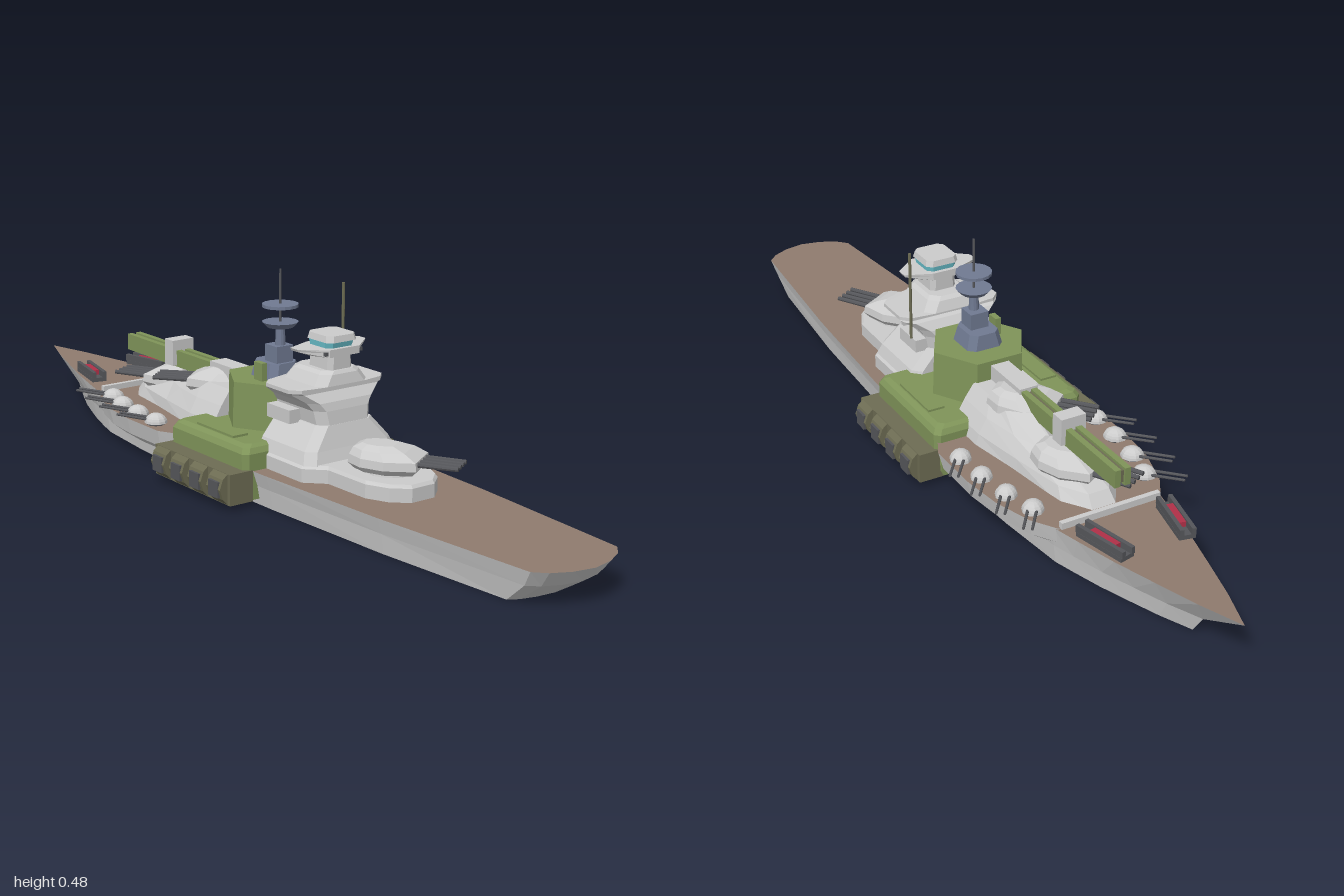
import * as THREE from 'three';

const mat = (color) => new THREE.MeshStandardMaterial({ color, flatShading: true, side: THREE.DoubleSide });

// Half outline (x, z) of a chamfered rectangle
const rect = (w, z0, z1, c = 0.02) => [[w - c, z0], [w, z0 + c], [w, z1 - c], [w - c, z1]];

// Stacks mirrored half outlines [x, z, y?] from bottom to top
function stack(sections, { top = true, bottom = true, sides = true } = {}) {
  const rings = sections.map(([y, half]) => {
    const right = half.map(([x, z, py]) => [x, py ?? y, z]);
    return right.concat([...right].reverse().map(([x, py, z]) => [-x, py, z]));
  });
  const n = rings[0].length, out = [];
  const tri = (a, b, c) => out.push(...a, ...b, ...c);
  if (sides) for (let k = 0; k + 1 < rings.length; k++) {
    const lo = rings[k], up = rings[k + 1];
    for (let i = 0; i < n; i++) {
      const j = (i + 1) % n;
      tri(lo[i], up[i], up[j]);
      tri(lo[i], up[j], lo[j]);
    }
  }
  const cap = (r, flip) => {
    for (let i = 0; i + 1 < n / 2; i++) {
      const [a, b, c, d] = [r[i], r[i + 1], r[n - 2 - i], r[n - 1 - i]];
      if (flip) { tri(a, b, c); tri(a, c, d); } else { tri(a, c, b); tri(a, d, c); }
    }
  };
  if (top) cap(rings[rings.length - 1], false);
  if (bottom) cap(rings[0], true);
  const g = new THREE.BufferGeometry();
  g.setAttribute('position', new THREE.Float32BufferAttribute(out, 3));
  g.computeVertexNormals();
  return g;
}

export function createModel() {
  const root = new THREE.Group();
  root.name = 'warship';
  const grey = mat(0xcccccc), brown = mat(0x8f7b6e), green = mat(0x7f9459), olive = mat(0x6d6c53);
  const dark = mat(0x55565a), blue = mat(0x707a92), red = mat(0xb03048), cyan = mat(0x6cc4d0);

  const add = (name, geo, m, x = 0, y = 0, z = 0, parent = root) => {
    const mesh = new THREE.Mesh(geo, m);
    mesh.name = name;
    mesh.position.set(x, y, z);
    parent.add(mesh);
    return mesh;
  };
  const box = (name, w, h, d, m, x, y, z, parent) => add(name, new THREE.BoxGeometry(w, h, d), m, x, y, z, parent);
  const cyl = (name, r0, r1, h, m, x, y, z, n = 12) => add(name, new THREE.CylinderGeometry(r1, r0, h, n), m, x, y, z);
  const group = (name, x, y, z, turn) => {
    const g = new THREE.Group();
    g.name = name;
    g.position.set(x, y, z);
    g.rotation.y = turn;
    root.add(g);
    return g;
  };
  const barrel = (parent, x, y, z, len, r, m, tilt = 0) => {
    const b = add('gunBarrel', new THREE.CylinderGeometry(r * 0.85, r, len, 8).rotateX(Math.PI / 2).translate(0, 0, len / 2), m, x, y, z, parent);
    b.rotation.x = -tilt;
  };

  // Hull: open shell with raked bow, sloping stern and rising deck
  const plan = [[0, -1], [0.035, -0.9], [0.064, -0.8], [0.092, -0.7], [0.115, -0.6], [0.13, -0.53], [0.15, -0.35],
    [0.165, -0.15], [0.167, 0.1], [0.165, 0.2], [0.147, 0.55], [0.114, 0.945], [0.09, 0.97], [0.05, 0.99], [0, 1]];
  const level = (kx, bow, stern, y) => plan.map(([x, z]) => [x * kx,
    z < -0.5 ? -0.5 + (z + 0.5) * bow : z > 0.8 ? 0.8 + (z - 0.8) * stern : z,
    y ?? 0.08 + 0.032 * Math.max(0, -z)]);
  const deckLine = level(1, 1, 1);
  add('hull', stack([[0, level(0.88, 0.69, 0.5, 0)], [0, level(0.93, 0.75, 0.85, 0.045)], [0, deckLine]], { top: false, bottom: false }), grey);
  add('deck', stack([[0, deckLine]], { bottom: false }), brown);

  // Side galleries carrying the small guns
  const gallery = [[0.125, -0.545], [0.16, -0.49], [0.188, -0.4], [0.2, -0.3], [0.2, -0.17], [0.18, -0.13]];
  const inward = (k) => gallery.map(([x, z]) => [x * k, -0.33 + (z + 0.33) * (0.4 + 0.6 * k)]);
  add('gallery', stack([[0.035, inward(0.78)], [0.06, inward(0.95)], [0.1, gallery]], { top: false, bottom: false }), grey);
  add('galleryDeck', stack([[0.1, gallery]], { bottom: false }), brown);
  box('breakwater', 0.24, 0.015, 0.012, grey, 0, 0.106, -0.545);

  // Fore superstructure and bridge tower
  const base = [[0.13, 0.1], [0.13, 0.28], [0.09, 0.32], [0.088, 0.44], [0.065, 0.49], [0.03, 0.52]];
  add('foreBase', stack([[0.078, base], [0.11, base], [0.117, base.map(([x, z]) => [x * 0.95, z - 0.005])]]), grey);
  add('towerFoot', stack([[0.115, rect(0.125, 0.1, 0.3)], [0.142, rect(0.115, 0.1, 0.29)], [0.19, rect(0.075, 0.1, 0.275)]]), grey);
  add('bridgeTower', stack([[0.185, rect(0.07, 0.1, 0.275)], [0.22, rect(0.076, 0.1, 0.27)], [0.238, rect(0.09, 0.105, 0.265)],
    [0.258, rect(0.12, 0.12, 0.25)], [0.262, rect(0.127, 0.13, 0.25)], [0.27, rect(0.127, 0.13, 0.25)],
    [0.272, rect(0.07, 0.12, 0.265)], [0.295, rect(0.054, 0.13, 0.26)], [0.302, rect(0.045, 0.14, 0.255)]]), grey);
  add('towerNeck', stack([[0.3, rect(0.033, 0.17, 0.25, 0.01)], [0.34, rect(0.031, 0.17, 0.25, 0.01)]]), grey);
  const wing = (w) => [[0.03, 0.165], [w, 0.19], [w, 0.215], [0.04, 0.26]];
  add('lookoutWing', stack([[0.333, wing(0.06)], [0.344, wing(0.09)], [0.35, wing(0.093)]]), grey);
  add('cabinWindows', stack([[0.35, rect(0.037, 0.175, 0.25, 0.012)], [0.365, rect(0.039, 0.172, 0.254, 0.012)]]), cyan);
  add('cabinRoof', stack([[0.363, rect(0.041, 0.17, 0.258, 0.012)], [0.377, rect(0.038, 0.173, 0.255, 0.012)]]), grey);
  for (const s of [-1, 1]) {
    box('wingLamp', 0.025, 0.008, 0.015, dark, s * 0.038, 0.341, 0.25);
    box('towerBay', 0.035, 0.03, 0.08, grey, s * 0.085, 0.2, 0.16);
  }

  // Green armoured midship and six-sided citadel
  add('midshipArmour', stack([[0.015, rect(0.18, -0.137, 0.155, 0.012)], [0.03, rect(0.187, -0.137, 0.155, 0.012)],
    [0.118, rect(0.187, -0.137, 0.155, 0.012)], [0.13, rect(0.18, -0.13, 0.148, 0.012)], [0.136, rect(0.168, -0.12, 0.138, 0.012)]]), green);
  add('citadel', new THREE.CylinderGeometry(0.113, 0.117, 0.112, 6).rotateY(Math.PI / 6), green, 0, 0.184, 0.01);
  box('citadelVent', 0.014, 0.045, 0.03, green, -0.055, 0.258, 0.03);
  for (const s of [-1, 1]) {
    box('armourHatch', 0.04, 0.006, 0.14, green, s * 0.145, 0.138, 0.01);
    box('aftChute', 0.03, 0.05, 0.05, green, s * 0.15, 0.065, -0.145).rotation.x = -0.5;
  }

  // Missile boxes: four per side with bulging lids
  const pod = new THREE.Shape([[0.165, 0.013], [0.227, 0.013], [0.24, 0.027], [0.248, 0.05], [0.24, 0.072], [0.227, 0.083], [0.165, 0.083]]
    .map(([x, y]) => new THREE.Vector2(x, y)));
  const podGeo = new THREE.ExtrudeGeometry(pod, { depth: 0.052, bevelEnabled: false });
  for (const s of [-1, 1]) {
    const side = group('missileBoxes', 0, 0, 0, 0);
    side.scale.x = s;
    box('boxFrame', 0.06, 0.07, 0.292, olive, 0.198, 0.048, 0.011, side);
    for (let i = 0; i < 4; i++) {
      const z = -0.125 + i * 0.0735;
      add('missileBox', podGeo, olive, 0, 0, z, side);
      box('boxLid', 0.006, 0.036, 0.036, dark, 0.2455, 0.048, z + 0.026, side);
    }
  }

  // Main mast with radar discs, and the tall offset antenna
  add('mastBase', stack([[0.238, rect(0.045, -0.035, 0.06, 0.015)], [0.275, rect(0.036, -0.03, 0.055, 0.015)]]), blue);
  box('mastBlock', 0.045, 0.04, 0.045, blue, 0, 0.293, 0.025);
  cyl('mastColumn', 0.012, 0.01, 0.06, blue, 0, 0.335, 0.03);
  cyl('lowerRadar', 0.03, 0.041, 0.012, blue, 0, 0.36, 0.03, 16);
  cyl('upperRadar', 0.041, 0.041, 0.007, blue, 0, 0.403, 0.03, 16);
  cyl('mastPole', 0.003, 0.0025, 0.13, dark, 0, 0.42, 0.03, 8);
  cyl('antenna', 0.0035, 0.0035, 0.21, olive, 0.125, 0.345, 0.097, 8);

  // Aft superstructure: broad sloping casemate
  add('aftCasemate', stack([
    [0.09, [[0.03, -0.53], [0.07, -0.47], [0.09, -0.32], [0.115, -0.18], [0.115, -0.08]]],
    [0.125, [[0.025, -0.5], [0.062, -0.44], [0.085, -0.31], [0.105, -0.18], [0.105, -0.08]]],
    [0.16, [[0.02, -0.36], [0.05, -0.33], [0.07, -0.27], [0.085, -0.18], [0.085, -0.08]]],
    [0.195, [[0.02, -0.26], [0.04, -0.24], [0.055, -0.2], [0.06, -0.15], [0.06, -0.08]]]]), grey);

  // Faceted main turrets with four barrels
  const ring = (k, dz = 0) => [[0.028, -0.085], [0.055, -0.05], [0.064, 0.005], [0.045, 0.07]].map(([x, z]) => [x * k, z * k + dz]);
  const turretGeo = stack([[0, ring(0.85)], [0.012, ring(1)], [0.03, ring(0.97)], [0.045, ring(0.75, -0.012)], [0.054, ring(0.45, -0.02)]]);
  const turret = (name, x, y, z, turn) => {
    const g = group(name, x, y, z, turn);
    add('turretHouse', turretGeo, grey, 0, 0, 0, g);
    add('turretRing', new THREE.CylinderGeometry(0.05, 0.055, 0.02, 16), grey, 0, -0.004, 0, g);
    for (let i = 0; i < 4; i++) barrel(g, (i - 1.5) * 0.019, 0.023, 0.05, 0.105, 0.006, dark);
  };
  turret('foreTurret', 0, 0.122, 0.415, 0.55);
  turret('aftLowerTurret', 0.005, 0.128, -0.4, Math.PI + 0.5);
  turret('aftUpperTurret', -0.005, 0.165, -0.2, Math.PI + 0.7);

  // Long green rail gun above the aft turrets
  box('longGunRailLeft', 0.014, 0.04, 0.38, green, 0.012, 0.205, -0.395);
  box('longGunRailRight', 0.014, 0.04, 0.38, green, -0.012, 0.205, -0.395);
  box('longGunCore', 0.012, 0.028, 0.37, olive, 0, 0.205, -0.395);
  box('longGunCollar', 0.06, 0.062, 0.035, grey, 0, 0.219, -0.38);
  box('longGunBreech', 0.045, 0.05, 0.13, grey, 0, 0.205, -0.15);
  box('longGunMount', 0.03, 0.06, 0.05, grey, 0, 0.165, -0.32);

  // Small domed twin guns along the galleries, and bow torpedo racks
  const dome = new THREE.SphereGeometry(0.027, 10, 6, 0, Math.PI * 2, 0, Math.PI / 2).scale(0.9, 0.85, 1);
  for (const s of [-1, 1]) {
    for (const [x, z] of [[0.137, -0.465], [0.157, -0.39], [0.168, -0.305], [0.172, -0.22]]) {
      const g = group('domeGun', s * x, 0.104, z, Math.PI - s * 0.65);
      add('dome', dome, grey, 0, 0, 0, g);
      add('domeRing', new THREE.CylinderGeometry(0.02, 0.02, 0.012, 10), dark, 0, -0.004, 0, g);
      for (const o of [-0.009, 0.009]) barrel(g, o, 0.008, 0.015, 0.078, 0.0035, dark, 0.08);
    }
    const rack = group('torpedoRack', s * 0.085, 0.122, -0.655, s * 0.22);
    box('rackBed', 0.036, 0.01, 0.125, dark, 0, -0.006, 0, rack);
    for (const o of [-0.013, 0.013]) box('rackRail', 0.009, 0.016, 0.13, dark, o, 0.006, 0, rack);
    box('torpedo', 0.015, 0.012, 0.07, red, 0, 0.006, 0, rack);
  }
  return root;
}
